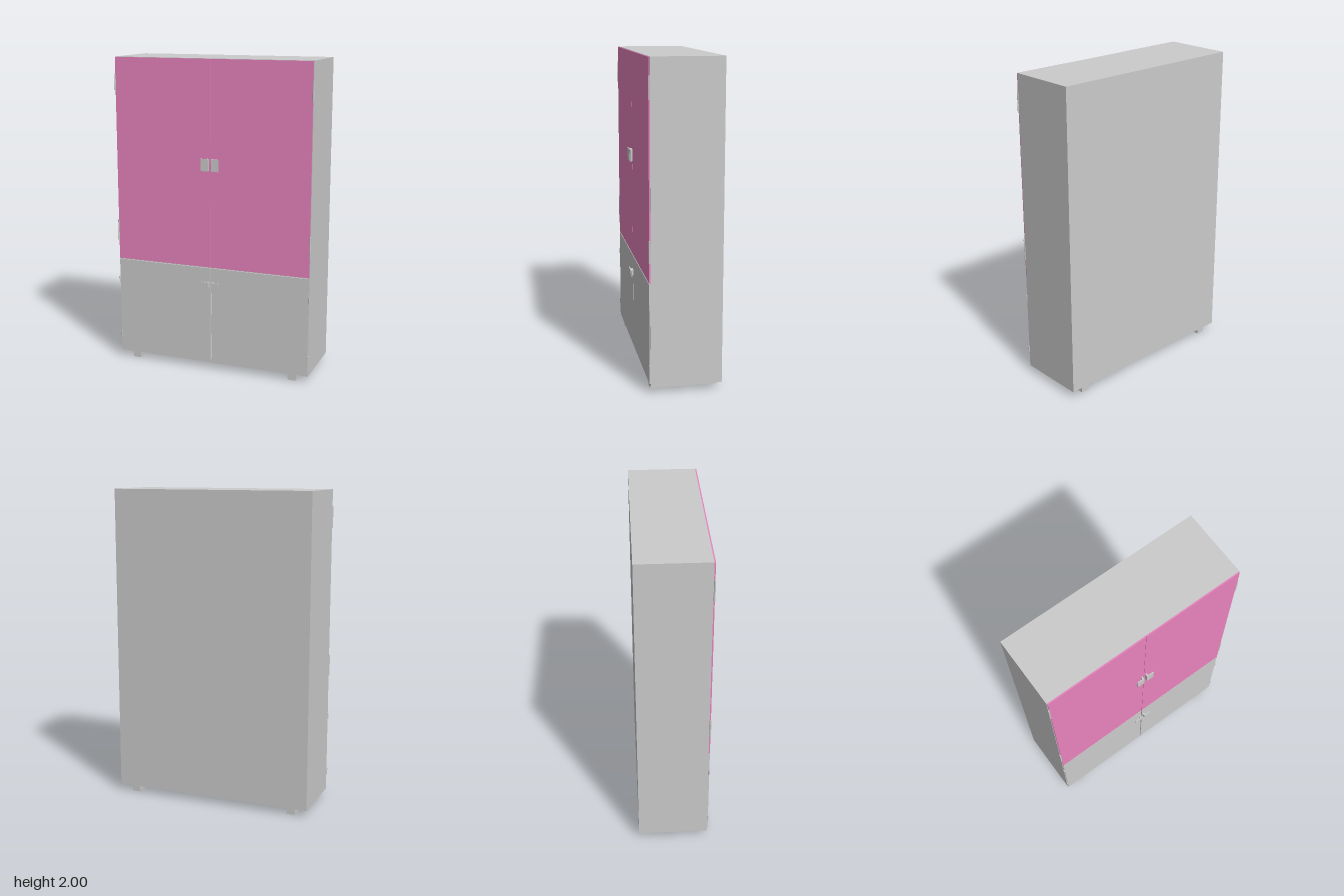
import * as THREE from 'three';

export function createModel() {
  const model = new THREE.Group();
  model.name = 'cabinet';
  const grey = new THREE.MeshStandardMaterial({ color: 0xcccccc });
  const pink = new THREE.MeshStandardMaterial({ color: 0xe884bd });

  const add = (name, geometry, material, x, y, z) => {
    const mesh = new THREE.Mesh(geometry, material);
    mesh.name = name;
    mesh.position.set(x, y, z);
    model.add(mesh);
  };
  // Box given by its lower and upper corners
  const box = (name, [x0, y0, z0], [x1, y1, z1], material = grey) =>
    add(name, new THREE.BoxGeometry(x1 - x0, y1 - y0, z1 - z0), material,
      (x0 + x1) / 2, (y0 + y1) / 2, (z0 + z1) / 2);
  // Box on one side of the centre: s = 1 is left, s = -1 is right
  const sideBox = (name, s, [x0, y0, z0], [x1, y1, z1], material) =>
    box(name, [s > 0 ? x0 : -x1, y0, z0], [s > 0 ? x1 : -x0, y1, z1], material);

  // Hollow carcass
  const W = 0.65, inner = 0.625, back = -0.232, front = 0.204;
  box('backPanel', [-inner, 0.07, back], [inner, 1.975, back + 0.015]);
  box('topPanel', [-inner, 1.975, back], [inner, 2, front]);
  box('bottomPanel', [-inner, 0.042, back], [inner, 0.07, front]);
  box('divider', [-inner, 0.67, back + 0.015], [inner, 0.695, front]);
  box('lowerShelf', [-inner, 0.355, back + 0.015], [inner, 0.37, front - 0.005]);

  for (const s of [1, -1]) {
    const side = s > 0 ? 'left' : 'right';
    sideBox(side + 'SidePanel', s, [inner, 0.042, back], [W, 2, front]);
    sideBox(side + 'FootRail', s, [0.515, 0, -0.219], [0.57, 0.042, 0.196]);

    // Doors
    sideBox(side + 'UpperDoor', s, [0.001, 0.688, front], [W - 0.003, 1.998, 0.212], pink);
    sideBox(side + 'LowerDoor', s, [0.003, 0.06, front], [W - 0.003, 0.682, 0.212]);

    // L-shaped handles: a stem and an outward plate
    for (const [level, y0, y1] of [['Upper', 1.31, 1.387], ['Lower', 0.555, 0.592]]) {
      sideBox(side + level + 'HandleStem', s, [0.01, y0, 0.212], [0.022, y1, 0.226]);
      sideBox(side + level + 'HandlePlate', s, [0.01, y0, 0.226], [0.06, y1, 0.232]);
    }

    // Barrel hinges on the outer door edges
    for (const [y0, y1] of [[1.76, 1.895], [0.81, 0.947], [0.522, 0.56], [0.142, 0.18]]) {
      add(side + 'Hinge', new THREE.CylinderGeometry(0.005, 0.005, y1 - y0, 16), grey,
        s * 0.649, (y0 + y1) / 2, 0.21);
    }
  }
  return model;
}
